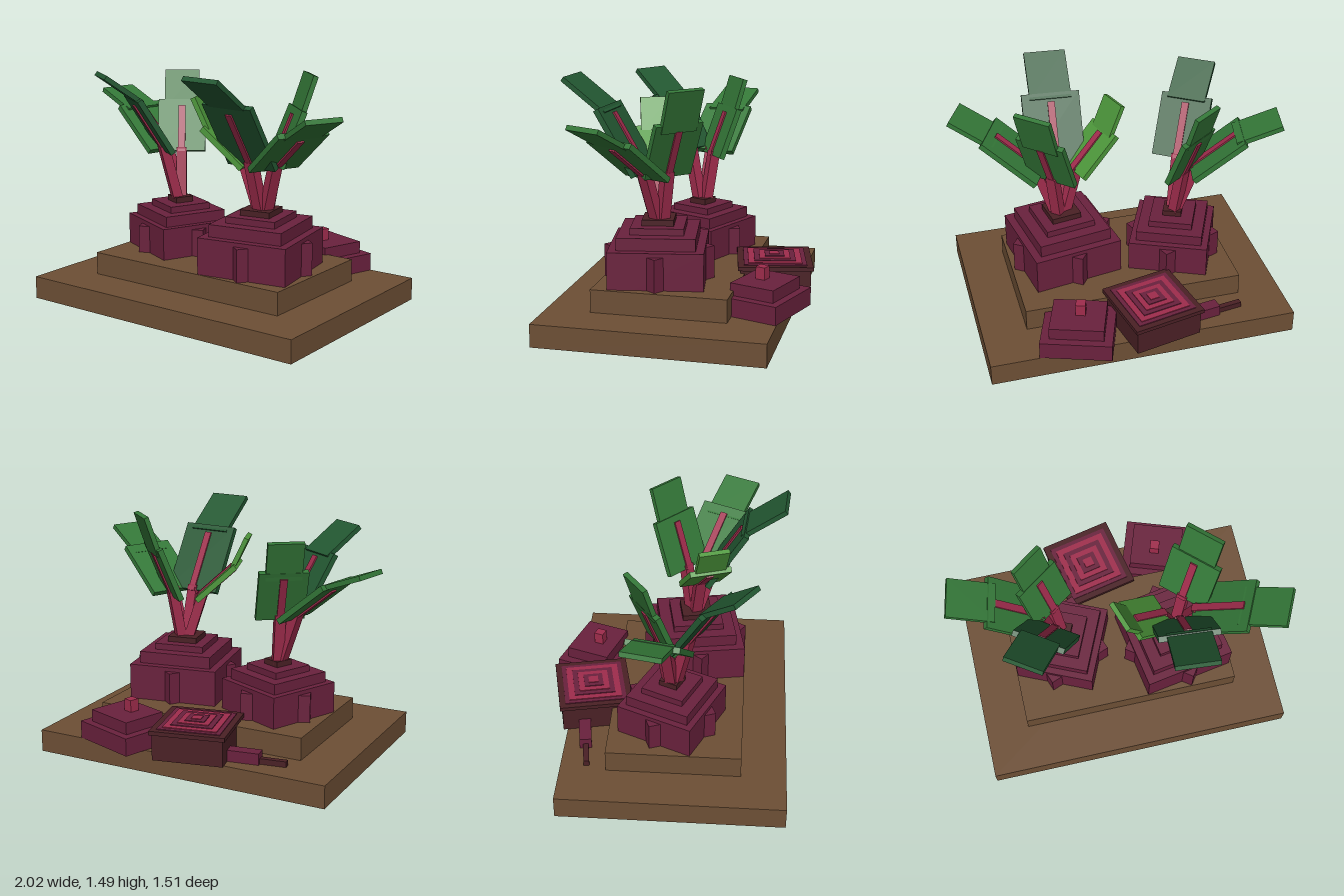
import * as THREE from 'three';

const paint = (name, color) => {
  const m = new THREE.MeshStandardMaterial({ color });
  m.name = name;
  return m;
};

export function createModel() {
  const soil = paint('soil brown', 0x6d4f35);
  const beet = paint('beet purple', 0x6a213d);
  const dark = paint('dark skin', 0x4a2025);
  const pink = paint('stem pink', 0x9f2c4c);
  const deepGreen = paint('deep green', 0x235832);
  const midGreen = paint('mid green', 0x347838);
  const lightGreen = paint('light green', 0x4c963a);

  const model = new THREE.Group();
  model.name = 'beetPatch';

  // Box standing on y0, reaching y1, turned about its own vertical axis
  function block(parent, name, mat, w, d, y0, y1, x = 0, z = 0, turn = 0) {
    const mesh = new THREE.Mesh(new THREE.BoxGeometry(w, y1 - y0, d), mat);
    mesh.name = name;
    mesh.position.set(x, (y0 + y1) / 2, z);
    mesh.rotation.y = turn;
    parent.add(mesh);
    return mesh;
  }

  function place(name, x, z, degrees) {
    const group = new THREE.Group();
    group.name = name;
    group.position.set(x, 0, z);
    group.rotation.y = THREE.MathUtils.degToRad(degrees);
    model.add(group);
    return group;
  }

  // Stepped soil bed
  block(model, 'soilBase', soil, 1.92, 1.375, 0, 0.14, 0.015, 0.0675);
  block(model, 'soilMound', soil, 1.375, 0.82, 0.14, 0.28, 0.0125, 0.07);

  // Bar in the outward plane from [radius, height] to [radius, height]
  function bar(parent, name, mat, [r0, y0], [r1, y1], width, thick) {
    const length = Math.hypot(r1 - r0, y1 - y0);
    const mesh = new THREE.Mesh(new THREE.BoxGeometry(width, length, thick), mat);
    mesh.name = name;
    mesh.position.set(0, (y0 + y1) / 2, (r0 + r1) / 2);
    mesh.rotation.x = Math.atan2(r1 - r0, y1 - y0);
    parent.add(mesh);
  }

  // Leaf: stem, wide lower blade with a midrib, narrower bent tip
  function leaf(x, z, { dir, mat, blade, tip, widths, base }) {
    const group = place('leaf', x, z, 0);
    group.rotation.y = Math.atan2(dir[0], dir[1]);
    const [a, b] = blade;
    const at = (t) => [a[0] + (b[0] - a[0]) * t, a[1] + (b[1] - a[1]) * t];
    bar(group, 'stem', pink, [0.025, base], at(0.08), 0.065, 0.06);
    bar(group, 'midrib', pink, at(-0.02), at(0.88), 0.045, 0.055);
    bar(group, 'lowerBlade', mat, a, b, widths[0], 0.035);
    bar(group, 'bladeTip', mat, tip[0], tip[1], widths[1], 0.03);
  }

  // Beet root: body, turned core whose corners make ribs, stepped shoulders, crown
  function root(name, x, z, degrees, tiers, core) {
    const group = place(name, x, z, degrees);
    let y = 0.2;
    tiers.forEach(([size, top], i) => {
      const crown = i === tiers.length - 1;
      block(group, crown ? 'crown' : i ? 'shoulder' : 'body', crown ? dark : beet, size, size, y, top);
      y = top;
    });
    block(group, 'ribCore', beet, core[0], core[0], 0.2, core[1], 0, 0, Math.PI / 4);
  }

  root('smallBeet', -0.345, 0.043, -24,
    [[0.493, 0.475], [0.413, 0.54], [0.273, 0.58], [0.117, 0.615]], [0.42, 0.45]);
  root('largeBeet', 0.357, 0.15, 9.7,
    [[0.567, 0.505], [0.467, 0.58], [0.318, 0.62], [0.19, 0.655]], [0.47, 0.48]);

  // Small beet: left, front and back leaves
  [
    { dir: [-0.98, -0.2], mat: midGreen, blade: [[0.12, 0.9], [0.43, 1.15]], tip: [[0.38, 1.13], [0.655, 1.235]], widths: [0.32, 0.24] },
    { dir: [-0.55, 0.83], mat: deepGreen, blade: [[0.1, 0.92], [0.31, 1.26]], tip: [[0.28, 1.24], [0.51, 1.405]], widths: [0.32, 0.24] },
    { dir: [-0.58, -0.81], mat: midGreen, blade: [[0.07, 0.89], [0.19, 1.2]], tip: [[0.175, 1.15], [0.25, 1.385]], widths: [0.3, 0.22] },
  ].forEach((l) => leaf(-0.335, 0.045, { ...l, base: 0.59 }));

  // Large beet: front, right, left and back leaves
  [
    { dir: [-0.08, 1], mat: deepGreen, blade: [[0.1, 0.925], [0.33, 1.31]], tip: [[0.3, 1.28], [0.56, 1.475]], widths: [0.36, 0.26] },
    { dir: [0.9, 0.43], mat: midGreen, blade: [[0.11, 0.92], [0.44, 1.17]], tip: [[0.38, 1.13], [0.65, 1.275]], widths: [0.33, 0.24] },
    { dir: [-0.95, 0.32], mat: lightGreen, blade: [[0.1, 0.91], [0.345, 1.135]], tip: [[0.32, 1.12], [0.41, 1.31]], widths: [0.26, 0.19] },
    { dir: [0.68, -0.73], mat: midGreen, blade: [[0.07, 0.92], [0.205, 1.25]], tip: [[0.195, 1.2], [0.28, 1.45]], widths: [0.32, 0.24] },
  ].forEach((l) => leaf(0.365, 0.14, { ...l, base: 0.63 }));

  // Cut beet with concentric rings stepping up to the centre
  const cut = place('cutBeet', -0.063, -0.48, 12);
  block(cut, 'cutBody', dark, 0.43, 0.43, 0.14, 0.3);
  block(cut, 'cutRim', dark, 0.46, 0.46, 0.3, 0.325);
  [0.385, 0.33, 0.255, 0.19, 0.12, 0.06].forEach((size, i) =>
    block(cut, 'ring', i % 2 ? pink : beet, size, size, 0.32, 0.33 + i * 0.005));

  // Root tail lying on the soil
  const tail = place('rootTail', -0.305, -0.51, 8.5);
  block(tail, 'tailThick', beet, 0.22, 0.075, 0.14, 0.21, -0.07);
  block(tail, 'tailThin', dark, 0.18, 0.035, 0.14, 0.175, -0.25);

  // Half-buried beet with a small nub
  const half = place('halfBeet', 0.41, -0.507, -19);
  block(half, 'halfBody', beet, 0.436, 0.38, 0.14, 0.25);
  block(half, 'halfTop', beet, 0.33, 0.285, 0.25, 0.325);
  block(half, 'nub', pink, 0.06, 0.06, 0.32, 0.4, -0.012, 0.025);

  return model;
}
